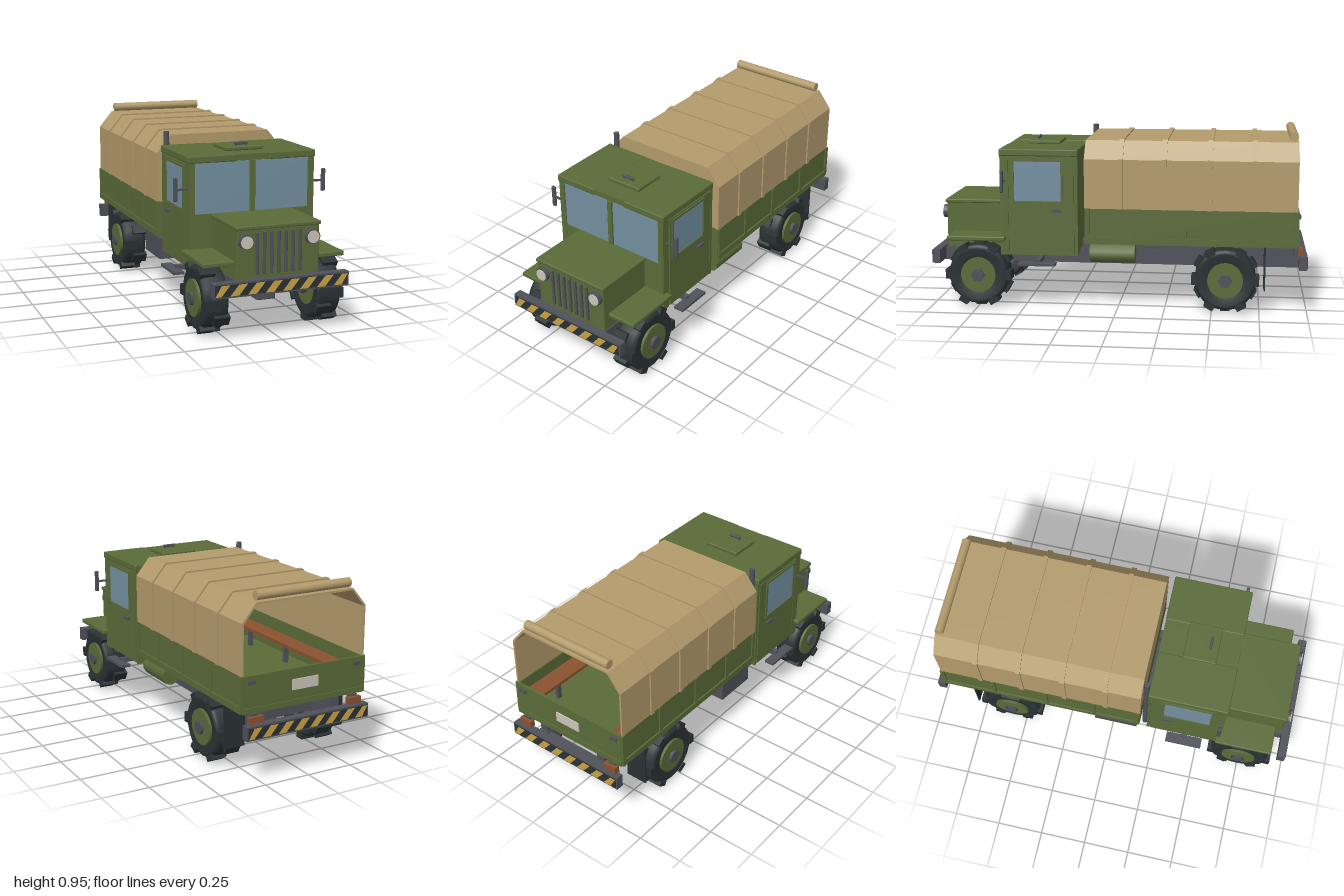
import * as THREE from 'three';
import { RoundedBoxGeometry } from 'three/addons/geometries/RoundedBoxGeometry.js';

const mat = (name, color) => {
  const m = new THREE.MeshStandardMaterial({ color });
  m.name = name;
  return m;
};

export function createModel() {
  const green = mat('olive green', 0x5a6b39);
  const tan = mat('canvas tan', 0xb39b6c);
  const grey = mat('steel grey', 0x50515a);
  const rubber = mat('dark rubber', 0x2a3234);
  const glass = mat('window glass', 0x7390a0);
  const lamp = mat('pale lens', 0xcbc6ba);
  const yellow = mat('warning yellow', 0xc9a244);
  const brown = mat('brown wood', 0x8a5230);

  const truck = new THREE.Group();
  truck.name = 'truck';

  const add = (name, geo, m, x = 0, y = 0, z = 0, parent = truck) => {
    const mesh = new THREE.Mesh(geo, m);
    mesh.name = name;
    mesh.position.set(x, y, z);
    parent.add(mesh);
    return mesh;
  };
  // Box given by its extents on each axis
  const box = (name, m, x0, x1, y0, y1, z0, z1, parent = truck) =>
    add(name, new THREE.BoxGeometry(x1 - x0, y1 - y0, z1 - z0), m,
      (x0 + x1) / 2, (y0 + y1) / 2, (z0 + z1) / 2, parent);
  // The same with slightly softened edges
  const soft = (name, m, x0, x1, y0, y1, z0, z1, r = 0.006) =>
    add(name, new RoundedBoxGeometry(x1 - x0, y1 - y0, z1 - z0, 1, r), m,
      (x0 + x1) / 2, (y0 + y1) / 2, (z0 + z1) / 2);
  // A box on both sides of the truck
  const pair = (name, m, x0, x1, ...r) => {
    box(name + 'Left', m, x0, x1, ...r);
    box(name + 'Right', m, -x1, -x0, ...r);
  };
  const cylX = (r, len, n) => new THREE.CylinderGeometry(r, r, len, n).rotateZ(Math.PI / 2);
  const cylZ = (r, len, n) => new THREE.CylinderGeometry(r, r, len, n).rotateX(Math.PI / 2);

  // Chassis
  pair('frameRail', grey, 0.165, 0.222, 0.225, 0.298, -0.965, 0.965);
  pair('bedRunner', grey, 0.17, 0.218, 0.298, 0.356, -0.93, 0.2);
  for (const z of [0.88, -0.1, -0.4, -0.75, -0.93])
    box('crossMember', grey, -0.17, 0.17, 0.235, 0.29, z - 0.02, z + 0.02);
  box('engineTray', grey, -0.17, 0.17, 0.27, 0.284, -0.08, 0.6);

  // Bumpers with slanted warning stripes
  for (const [side, y] of [[1, 0.27], [-1, 0.275]]) {
    const bumper = new THREE.Group();
    bumper.name = side > 0 ? 'frontBumper' : 'rearBumper';
    bumper.position.y = y;
    if (side < 0) bumper.rotation.y = Math.PI;
    truck.add(bumper);
    box('bumperBeam', grey, -0.354, 0.354, -0.036, 0.036, 0.952, 0.994, bumper);
    box('stripePlate', rubber, -0.346, 0.346, -0.028, 0.028, 0.99, 0.997, bumper);
    const clip = (v) => Math.max(-0.345, Math.min(0.345, v));
    for (let i = 0; i < 8; i++) {
      const c = -0.315 + i * 0.09;
      const s = new THREE.Shape([[-0.045, -0.027], [0, -0.027], [0.045, 0.027], [0, 0.027]]
        .map(([x, yy]) => new THREE.Vector2(clip(c + x), yy)));
      add('yellowStripe', new THREE.ShapeGeometry(s), yellow, 0, 0, 0.999, bumper);
    }
  }

  // Wheels, axles and springs
  const tyreProfile = [[0.09, -0.055], [0.14, -0.066], [0.155, -0.06], [0.162, -0.045],
    [0.162, 0.045], [0.155, 0.06], [0.14, 0.066], [0.09, 0.055]]
    .map(([r, h]) => new THREE.Vector2(r, h));
  const tyreGeo = new THREE.LatheGeometry(tyreProfile, 24).rotateZ(-Math.PI / 2);
  for (const z of [0.743, -0.571]) {
    add('axle', cylX(0.022, 0.5, 12), grey, 0, 0.187, z);
    soft('differential', grey, -0.05, 0.05, 0.145, 0.238, z - 0.06, z + 0.06);
    for (const s of [1, -1]) {
      soft('leafSpring', grey, s * 0.195 - 0.03, s * 0.195 + 0.03, 0.212, 0.232, z - 0.14, z + 0.14);
      soft('springClamp', grey, s * 0.195 - 0.028, s * 0.195 + 0.028, 0.165, 0.214, z - 0.035, z + 0.035);
      const wheel = new THREE.Group();
      wheel.name = 'wheel';
      wheel.position.set(s * 0.299, 0.177, z);
      if (s < 0) wheel.rotation.y = Math.PI;
      truck.add(wheel);
      add('tyre', tyreGeo, rubber, 0, 0, 0, wheel);
      add('rim', cylX(0.094, 0.13, 20), green, 0.005, 0, 0, wheel);
      add('hub', cylX(0.036, 0.176, 6), grey, -0.002, 0, 0, wheel);
      // Tread blocks alternate between the outer and inner shoulder
      for (let i = 0; i < 12; i++) {
        const a = (i * Math.PI) / 6;
        const lug = add('treadBlock', new THREE.BoxGeometry(0.08, 0.03, 0.052), rubber,
          i % 2 ? -0.028 : 0.028, Math.sin(a) * 0.162, Math.cos(a) * 0.162, wheel);
        lug.rotation.x = Math.PI / 2 - a;
      }
    }
  }
  pair('mudFlap', rubber, 0.235, 0.355, 0.125, 0.356, -0.779, -0.771);

  // Bonnet, grille and headlights
  soft('bonnet', green, -0.215, 0.215, 0.285, 0.545, 0.6, 0.943);
  soft('bonnetLid', green, -0.222, 0.222, 0.54, 0.56, 0.6, 0.95);
  for (let i = -3; i <= 3; i++)
    soft('grilleBar', grey, i * 0.0375 - 0.007, i * 0.0375 + 0.007, 0.322, 0.53, 0.938, 0.955, 0.004);
  for (const s of [1, -1]) {
    add('headlightRing', cylZ(0.037, 0.035, 16), grey, s * 0.173, 0.486, 0.948);
    add('headlightLens', cylZ(0.031, 0.008, 16), lamp, s * 0.173, 0.486, 0.966);
    const x0 = s > 0 ? 0.21 : -0.372;
    soft('fender', green, x0, x0 + 0.162, 0.362, 0.386, 0.595, 0.908);
  }

  // Cab shell and windscreen
  box('cabShell', green, -0.332, 0.332, 0.285, 0.82, 0.212, 0.612);
  box('windscreen', glass, -0.306, 0.306, 0.56, 0.816, 0.61, 0.616);
  soft('windscreenPost', green, -0.014, 0.014, 0.56, 0.82, 0.61, 0.628, 0.004);
  box('cowl', green, -0.333, 0.333, 0.35, 0.56, 0.61, 0.62);
  pair('cornerPost', green, 0.306, 0.338, 0.285, 0.82, 0.578, 0.622);
  pair('rearPost', green, 0.31, 0.338, 0.285, 0.82, 0.208, 0.222);

  // Roof panels and hatch
  soft('roofLeft', green, 0.092, 0.344, 0.816, 0.852, 0.206, 0.626);
  soft('roofRight', green, -0.344, -0.092, 0.816, 0.852, 0.206, 0.626);
  box('roofCentre', green, -0.095, 0.095, 0.82, 0.849, 0.208, 0.622);
  soft('roofHatch', green, -0.102, 0.102, 0.85, 0.87, 0.335, 0.512);
  soft('hatchHandle', grey, -0.036, 0.036, 0.874, 0.889, 0.46, 0.474, 0.004);
  pair('handleFoot', grey, 0.02, 0.03, 0.868, 0.878, 0.463, 0.471);

  // Doors, handles, mirrors and steps
  pair('door', green, 0.33, 0.34, 0.292, 0.808, 0.228, 0.57);
  pair('doorWindow', glass, 0.337, 0.342, 0.578, 0.788, 0.297, 0.545);
  pair('windowSill', green, 0.338, 0.347, 0.566, 0.578, 0.285, 0.557);
  pair('windowTop', green, 0.338, 0.347, 0.788, 0.8, 0.285, 0.557);
  pair('windowFront', green, 0.338, 0.347, 0.578, 0.788, 0.545, 0.557);
  pair('windowRear', green, 0.338, 0.347, 0.578, 0.788, 0.285, 0.297);
  pair('doorHandle', grey, 0.34, 0.354, 0.52, 0.535, 0.295, 0.345);
  pair('mirrorArm', grey, 0.33, 0.4, 0.682, 0.692, 0.595, 0.605);
  for (const s of [1, -1])
    soft('mirror', grey, s * 0.402 - 0.011, s * 0.402 + 0.011, 0.63, 0.748, 0.592, 0.608, 0.005);
  pair('step', grey, 0.33, 0.386, 0.236, 0.25, 0.325, 0.525);
  pair('stepBracket', grey, 0.21, 0.345, 0.238, 0.262, 0.41, 0.44);

  // Exhaust stack, fuel tank and tool box
  add('exhaustStack', new THREE.CylinderGeometry(0.015, 0.015, 0.63, 12), grey, -0.307, 0.605, 0.192);
  add('fuelTank', cylZ(0.052, 0.24, 10), green, 0.285, 0.296, 0.027);
  box('toolBox', grey, -0.335, -0.222, 0.225, 0.34, -0.09, 0.15);

  // Load bed
  box('bedFloor', green, -0.345, 0.345, 0.354, 0.372, -0.94, 0.17);
  pair('bedSide', green, 0.338, 0.352, 0.36, 0.546, -0.94, 0.17);
  box('bedFront', green, -0.345, 0.345, 0.36, 0.546, 0.156, 0.17);
  box('tailgate', green, -0.345, 0.345, 0.36, 0.546, -0.948, -0.934);
  pair('bedBottomRail', green, 0.345, 0.361, 0.36, 0.392, -0.946, 0.168);
  for (const z of [0.155, -0.088, -0.357, -0.65, -0.935])
    pair('bedRib', green, 0.345, 0.36, 0.375, 0.546, z - 0.011, z + 0.011);
  box('rearRail', green, -0.35, 0.35, 0.36, 0.388, -0.954, -0.94);
  box('numberPlate', lamp, -0.075, 0.075, 0.438, 0.492, -0.954, -0.947);
  pair('tailgateLatch', grey, 0.285, 0.325, 0.505, 0.525, -0.957, -0.945);
  pair('tailLight', brown, 0.25, 0.325, 0.308, 0.346, -0.972, -0.945);
  pair('bumperBracket', grey, 0.27, 0.31, 0.285, 0.356, -0.955, -0.925);

  // Benches inside the bed
  pair('bench', brown, 0.235, 0.335, 0.462, 0.48, -0.92, 0.14);
  for (const z of [-0.75, -0.39, -0.03])
    pair('benchLeg', grey, 0.245, 0.265, 0.37, 0.463, z - 0.012, z + 0.012);

  // Canvas cover: an arch-shaped shell with raised hoops, open at the rear
  const archPoints = (d) => [[0.354 + d, 0.545], [0.354 + d, 0.805 + d * 0.5], [0.277 + d * 0.5, 0.898 + d],
    [-0.277 - d * 0.5, 0.898 + d], [-0.354 - d, 0.805 + d * 0.5], [-0.354 - d, 0.545]]
    .map(([x, y]) => new THREE.Vector2(x, y));
  const arch = (name, outer, inner, z0, z1) => {
    const pts = archPoints(outer);
    if (inner !== null) pts.push(...archPoints(inner).reverse());
    const geo = new THREE.ExtrudeGeometry(new THREE.Shape(pts), { depth: z1 - z0, bevelEnabled: false });
    add(name, geo, tan, 0, 0, z0);
  };
  arch('canvasCover', 0, -0.01, -0.94, 0.172);
  arch('canvasFront', -0.004, null, 0.158, 0.17);
  for (const z of [-0.02, -0.248, -0.485, -0.715]) arch('canvasHoop', 0.008, -0.002, z - 0.013, z + 0.013);
  add('rolledFlap', cylX(0.024, 0.536, 12), tan, 0, 0.925, -0.914);

  return truck;
}
